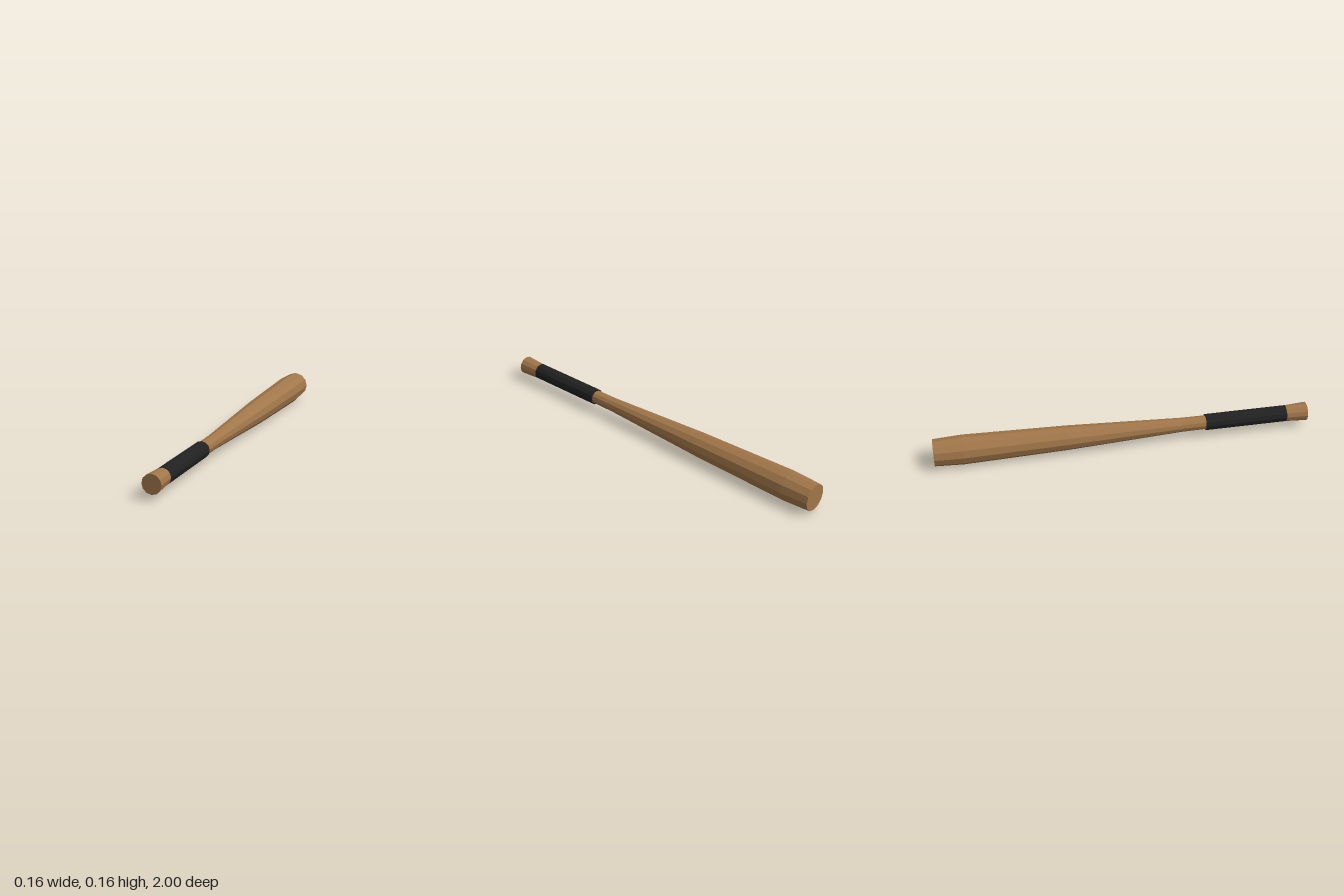
import * as THREE from 'three';

const SIDES = 12;
const AXIS_HEIGHT = 0.08;

// Turn a list of [z, radius] stations, running from back to front, around the z axis.
function turned(name, stations, material) {
  const points = stations.map(([z, r]) => new THREE.Vector2(r, z));
  const geometry = new THREE.LatheGeometry(points, SIDES).rotateX(Math.PI / 2);
  const mesh = new THREE.Mesh(geometry, material);
  mesh.name = name;
  mesh.position.y = AXIS_HEIGHT;
  return mesh;
}

export function createModel() {
  const wood = new THREE.MeshStandardMaterial({ name: 'wood', color: 0xa1764a, flatShading: true });
  const gripTape = new THREE.MeshStandardMaterial({ name: 'grip tape', color: 0x212121, flatShading: true });

  const bat = new THREE.Group();
  bat.name = 'baseballBat';

  // Wooden body: blunt tip, barrel, slim handle and flared knob
  bat.add(turned('woodenBody', [
    [-1, 0],
    [-1, 0.071],
    [-0.85, 0.078],
    [-0.3, 0.065],
    [0.31, 0.038],
    [0.44, 0.037],
    [0.8, 0.038],
    [0.88, 0.043],
    [1, 0.05],
    [1, 0],
  ], wood));

  // Grip: straight sleeve around the handle, with closed ends
  bat.add(turned('grip', [
    [0.44, 0.03],
    [0.44, 0.0435],
    [0.885, 0.0435],
    [0.885, 0.03],
  ], gripTape));

  return bat;
}
